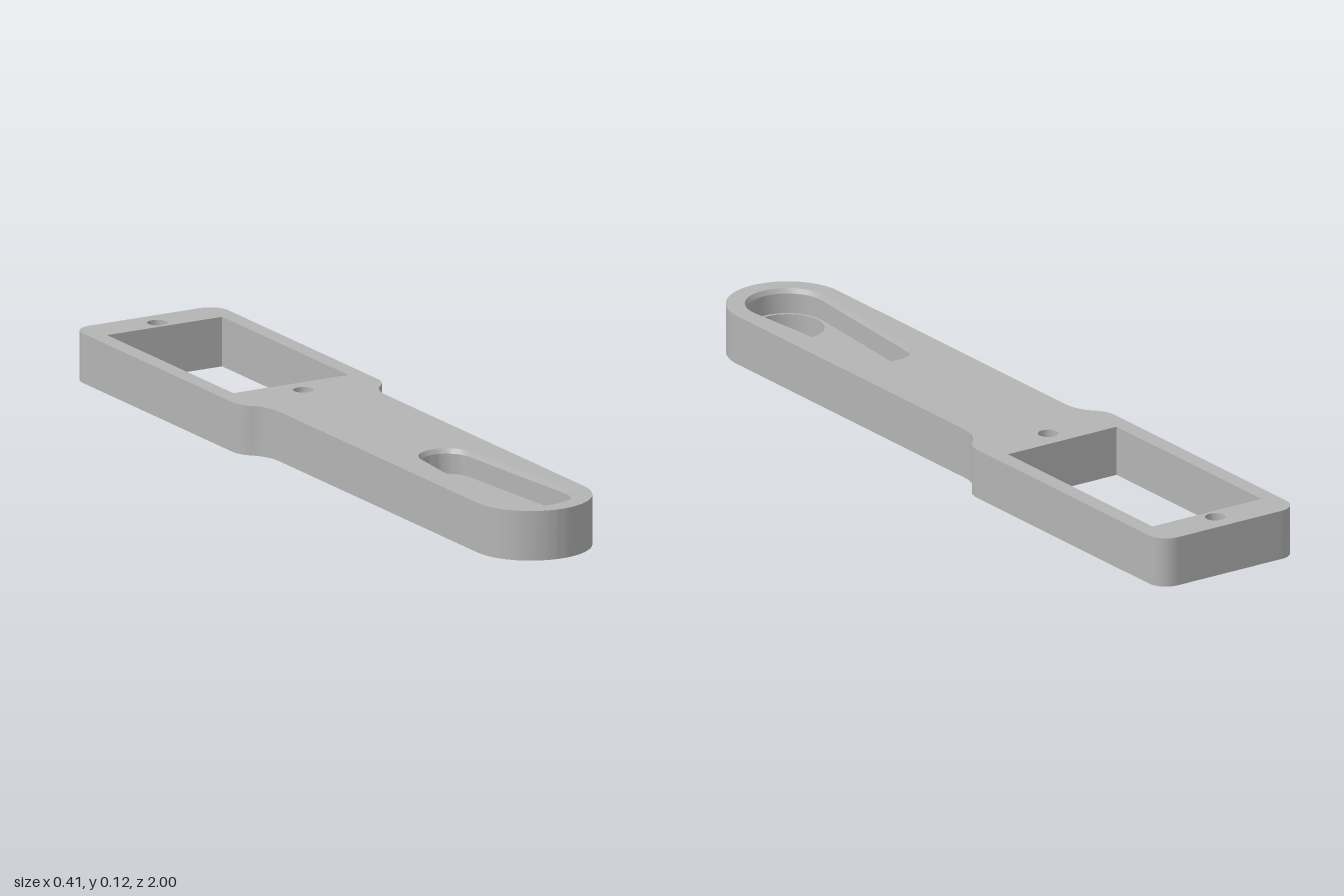
import * as THREE from 'three';
import { toCreasedNormals } from 'three/addons/utils/BufferGeometryUtils.js';

const HEIGHT = 0.125, FLOOR = 0.0625, LIP = 0.012;

// Plan loops are counter-clockwise points (x, -z)
function arc(cx, cy, r, from, to, n) {
  return Array.from({ length: n + 1 }, (_, i) => {
    const a = from + (to - from) * i / n;
    return new THREE.Vector2(cx + r * Math.cos(a), cy + r * Math.sin(a));
  });
}
const circle = (z, r, n = 40) => arc(0, -z, r, 0, Math.PI * 2, n).slice(0, n);

// Slot whose two round ends have different radii, joined by tangents
function taperedSlot(z1, r1, z2, r2) {
  const t = Math.asin((r2 - r1) / (z2 - z1));
  return [
    ...arc(0, -z1, r1, t, Math.PI - t, 20),
    ...arc(0, -z2, r2, Math.PI - t, Math.PI * 2 + t, 28),
  ];
}

// Right half from the round end to the head, then mirrored
function bodyOutline() {
  const half = new THREE.Shape();
  half.moveTo(0, -1);
  half.absarc(0, -0.85, 0.15, -Math.PI / 2, 0, false);
  half.lineTo(0.15, 0.10);
  half.quadraticCurveTo(0.15, 0.145, 0.18, 0.177);
  half.quadraticCurveTo(0.205, 0.2, 0.205, 0.23);
  half.lineTo(0.205, 0.95);
  half.absarc(0.155, 0.95, 0.05, 0, Math.PI / 2, false);
  const right = half.getPoints(16).filter((p, i, a) => !i || p.distanceTo(a[i - 1]) > 1e-5);
  const left = right.slice(1).reverse().map(p => new THREE.Vector2(-p.x, p.y));
  return [...right, ...left];
}

// Flat face with holes, facing up or down
function cap(loop, holes, y, up = true) {
  const shape = new THREE.Shape(loop);
  shape.holes = holes.map(h => new THREE.Path(h));
  const g = new THREE.ShapeGeometry(shape);
  if (!up) {
    g.index.array.reverse();
    g.attributes.normal.array.fill(-1);
    g.computeVertexNormals();
  }
  return g.rotateX(-Math.PI / 2).translate(0, y, 0);
}

// Side wall between two matching loops, facing outward or into a hole
function wall(low, y0, high, y1, inward = false) {
  const pos = [];
  const put = (p, y) => pos.push(p.x, y, -p.y);
  low.forEach((a, i) => {
    const j = (i + 1) % low.length, b = low[j], c = high[j], d = high[i];
    const quad = [[a, y0], [b, y0], [c, y1], [a, y0], [c, y1], [d, y1]];
    if (inward) quad.reverse();
    quad.forEach(([p, y]) => put(p, y));
  });
  const g = new THREE.BufferGeometry();
  g.setAttribute('position', new THREE.Float32BufferAttribute(pos, 3));
  return toCreasedNormals(g, 0.5);
}

export function createModel() {
  const group = new THREE.Group();
  group.name = 'handleBracket';
  const grey = new THREE.MeshStandardMaterial({ color: 0xb4b4b4 });
  grey.name = 'grey';
  const add = (name, geometry) => {
    const mesh = new THREE.Mesh(geometry, grey);
    mesh.name = name;
    group.add(mesh);
  };

  const outline = bodyOutline();
  const frame = [[-0.162, 0.3], [0.162, 0.3], [0.162, 0.905], [-0.162, 0.905]]
    .map(([x, y]) => new THREE.Vector2(x, y));
  const screws = [circle(-0.94, 0.025, 24), circle(-0.24, 0.025, 24)];
  const bore = circle(0.85, 0.09);
  const pocket = taperedSlot(0.45, 0.064, 0.85, 0.098);
  const rim = taperedSlot(0.45, 0.07, 0.85, 0.104);

  // Outer body
  add('topFace', cap(outline, [frame, ...screws, rim], HEIGHT));
  add('bottomFace', cap(outline, [frame, ...screws, bore], 0, false));
  add('outerWall', wall(outline, 0, outline, HEIGHT));

  // Openings through the head
  add('windowWall', wall(frame, 0, frame, HEIGHT, true));
  screws.forEach((s, i) => add(['rearScrewHole', 'frontScrewHole'][i], wall(s, 0, s, HEIGHT, true)));

  // Tapered pocket with a chamfered rim and a round bore
  add('pocketRim', wall(pocket, HEIGHT - LIP, rim, HEIGHT, true));
  add('pocketWall', wall(pocket, FLOOR, pocket, HEIGHT - LIP, true));
  add('pocketFloor', cap(pocket, [bore], FLOOR));
  add('boreWall', wall(bore, 0, bore, FLOOR, true));
  return group;
}
